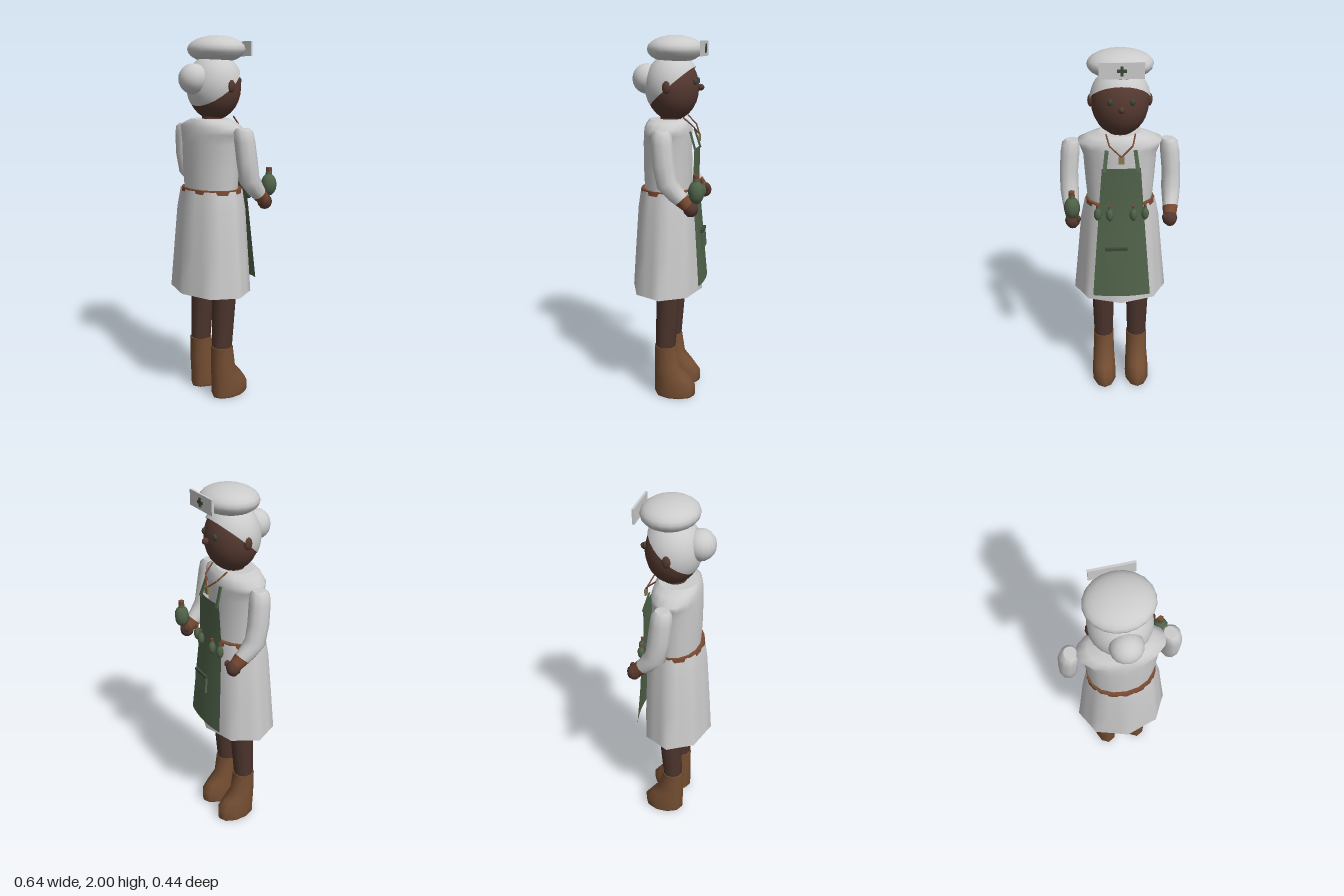
import * as THREE from 'three';

const COLORS = { cloth: 0xcccccc, skin: 0x553930, leg: 0x4c342c, boot: 0x744e32, leather: 0x7a4a32, green: 0x50634a, dark: 0x3c4638, brass: 0x8a7a50 };
const V = (x, y, z) => new THREE.Vector3(x, y, z);

function mesh(name, geo, color, parent, x = 0, y = 0, z = 0) {
  const mat = new THREE.MeshStandardMaterial({ color: COLORS[color] });
  const m = new THREE.Mesh(geo, mat);
  m.name = name;
  m.position.set(x, y, z);
  parent.add(m);
  return m;
}

function ellipsoid(rx, ry, rz, w = 16, h = 12) {
  return new THREE.SphereGeometry(1, w, h).scale(rx, ry, rz);
}

// Loft of elliptical rings, bottom to top: [x, y, z, rx, rz, tilt about x, fold depth]
function loft(rings, n, capped = true, folds = 8) {
  const pos = [], idx = [];
  const addRing = ([cx, cy, cz, rx, rz, tilt = 0, fold = 0]) => {
    for (let i = 0; i < n; i++) {
      const a = (i / n) * Math.PI * 2;
      const k = 1 + fold * (Math.cos(folds * a) - 1);
      const z = Math.cos(a) * rz * k;
      pos.push(cx + Math.sin(a) * rx * k, cy - z * Math.sin(tilt), cz + z * Math.cos(tilt));
    }
  };
  rings.forEach(addRing);
  for (let r = 0; r < rings.length - 1; r++) {
    for (let i = 0; i < n; i++) {
      const a = r * n + i, b = r * n + ((i + 1) % n);
      idx.push(a, b, b + n, a, b + n, a + n);
    }
  }
  if (capped) {
    [rings[0], rings[rings.length - 1]].forEach((ring, top) => {
      const s = pos.length / 3;
      addRing(ring);
      pos.push(ring[0], ring[1], ring[2]);
      for (let i = 0; i < n; i++) {
        const a = s + i, b = s + ((i + 1) % n);
        idx.push(s + n, top ? a : b, top ? b : a);
      }
    });
  }
  const g = new THREE.BufferGeometry();
  g.setAttribute('position', new THREE.Float32BufferAttribute(pos, 3));
  g.setIndex(idx);
  g.computeVertexNormals();
  return g;
}

function rod(name, a, b, r, color, parent) {
  return mesh(name, new THREE.TubeGeometry(new THREE.LineCurve3(a, b), 1, r, 6), color, parent);
}

// Round flask with a cork
function flask(name, r, h, parent, x, y, z) {
  const g = new THREE.Group();
  g.name = name;
  g.position.set(x, y, z);
  parent.add(g);
  mesh('glassBody', ellipsoid(r, h * 0.42, r, 8, 8), 'green', g, 0, h * 0.42, 0);
  mesh('glassNeck', new THREE.CylinderGeometry(r * 0.38, r * 0.45, h * 0.2, 8), 'green', g, 0, h * 0.82, 0);
  mesh('cork', new THREE.CylinderGeometry(r * 0.42, r * 0.38, h * 0.2, 6), 'leather', g, 0, h * 0.95, 0);
}

function buildLeg(s, root) {
  const leg = new THREE.Group();
  leg.name = s > 0 ? 'leftLeg' : 'rightLeg';
  root.add(leg);
  const x = s * 0.098;
  mesh('boot', loft([
    [x, 0, -0.043, 0.066, 0.11], [x, 0.015, -0.043, 0.072, 0.117], [x, 0.07, -0.043, 0.071, 0.117],
    [x, 0.12, -0.024, 0.068, 0.099], [x, 0.18, 0.003, 0.064, 0.071], [x, 0.3, 0.012, 0.062, 0.062],
  ], 10), 'boot', leg);
  mesh('shin', loft([
    [x, 0.28, 0.012, 0.056, 0.056], [x, 0.62, -0.005, 0.067, 0.067], [x, 1.0, 0, 0.07, 0.07],
  ], 10), 'leg', leg);
}

function buildArm(s, root) {
  const arm = new THREE.Group();
  arm.name = s > 0 ? 'leftArm' : 'rightArm';
  root.add(arm);
  mesh('sleeve', loft([
    [s * 0.262, 1.172, -0.112, 0.039, 0.039, 0.75], [s * 0.266, 1.205, -0.078, 0.045, 0.047, 0.7],
    [s * 0.27, 1.26, -0.032, 0.051, 0.056, 0.4], [s * 0.27, 1.36, -0.014, 0.05, 0.058, 0.1],
    [s * 0.262, 1.46, -0.004, 0.052, 0.056], [s * 0.256, 1.51, 0, 0.048, 0.052], [s * 0.25, 1.528, 0, 0.033, 0.036],
  ], 10), 'cloth', arm);
  mesh('cuff', loft([
    [s * 0.258, 1.145, -0.14, 0.034, 0.034, 0.75], [s * 0.262, 1.18, -0.105, 0.042, 0.042, 0.75],
  ], 10), 'leather', arm);
  mesh('hand', ellipsoid(0.04, 0.043, 0.04, 8, 6), 'skin', arm, s * 0.257, 1.133, -0.152);
  mesh('thumb', ellipsoid(0.013, 0.02, 0.016, 6, 5), 'skin', arm, s * 0.226, 1.15, -0.17);
}

function buildHead(root) {
  const head = new THREE.Group();
  head.name = 'head';
  root.add(head);
  mesh('neck', new THREE.CylinderGeometry(0.055, 0.06, 0.1, 12), 'skin', head, 0, 1.57, 0);
  mesh('face', ellipsoid(0.148, 0.172, 0.142, 20, 14), 'skin', head, 0, 1.73, -0.01);
  // Hair shell covers the crown and back, cut along a sloping line
  const hair = new THREE.SphereGeometry(1, 24, 10, 0, Math.PI * 2, 0, Math.PI * 0.5);
  hair.rotateX(0.64).scale(0.157, 0.172, 0.15);
  mesh('hair', hair, 'cloth', head, 0, 1.737, -0.012).material.side = THREE.DoubleSide;
  mesh('bun', ellipsoid(0.082, 0.08, 0.08), 'cloth', head, 0, 1.775, 0.127);
  for (const s of [1, -1]) {
    mesh('ear', ellipsoid(0.016, 0.034, 0.024, 8, 6), 'skin', head, s * 0.15, 1.738, -0.005);
    mesh('eye', ellipsoid(0.016, 0.018, 0.012, 8, 6), 'dark', head, s * 0.055, 1.765, -0.137);
  }
  mesh('nose', ellipsoid(0.017, 0.018, 0.02, 8, 6), 'skin', head, 0, 1.733, -0.16);
  mesh('cap', ellipsoid(0.167, 0.072, 0.148, 20, 12), 'cloth', head, 0, 1.928, -0.024);
  mesh('capPanel', new THREE.BoxGeometry(0.22, 0.078, 0.012), 'cloth', head, 0, 1.932, -0.177);
  mesh('crossBar', new THREE.BoxGeometry(0.046, 0.015, 0.008), 'dark', head, 0, 1.932, -0.185);
  mesh('crossPost', new THREE.BoxGeometry(0.015, 0.046, 0.008), 'dark', head, 0, 1.932, -0.185);
}

function buildApron(root) {
  const apron = new THREE.Group();
  apron.name = 'apron';
  root.add(apron);
  // Sheet that widens towards the hem and curves round the body
  const sheet = new THREE.PlaneGeometry(2, 1, 8, 8);
  const p = sheet.attributes.position;
  for (let i = 0; i < p.count; i++) {
    const t = 0.5 - p.getY(i);
    const x = p.getX(i) * THREE.MathUtils.lerp(0.1, 0.157, t);
    const z = t < 0.3 ? -0.152 : THREE.MathUtils.lerp(-0.152, -0.2, (t - 0.3) / 0.7);
    p.setXYZ(i, x, 1.42 - 0.74 * t, z + 0.75 * x * x);
  }
  sheet.computeVertexNormals();
  mesh('apronSheet', sheet, 'green', apron).material.side = THREE.DoubleSide;
  mesh('pocket', new THREE.BoxGeometry(0.115, 0.1, 0.012), 'green', apron, 0.03, 0.922, -0.188).rotation.x = 0.08;
  mesh('pocketHem', new THREE.BoxGeometry(0.12, 0.014, 0.015), 'dark', apron, 0.03, 0.97, -0.186);
  for (const s of [1, -1]) {
    const strap = mesh('strap', new THREE.BoxGeometry(0.02, 0.11, 0.008), 'green', apron, s * 0.08, 1.455, -0.134);
    strap.rotation.set(0.3, 0, s * 0.12);
    for (const x of [0.062, 0.125]) flask('beltVial', 0.02, 0.085, apron, s * x, 1.13, x > 0.1 ? -0.155 : -0.167);
  }
}

export function createModel() {
  const root = new THREE.Group();
  root.name = 'healer';

  for (const s of [1, -1]) {
    buildLeg(s, root);
    buildArm(s, root);
  }

  // Skirt with folds deepening towards the hem, open below
  const skirt = loft([
    [0, 0.62, 0.0175, 0.26, 0.197, 0, 0.048], [0, 0.85, 0.015, 0.236, 0.184, 0, 0.042],
    [0, 1.08, 0.012, 0.213, 0.17, 0, 0.035], [0, 1.19, 0.01, 0.19, 0.155, 0, 0.03],
  ], 24, false);
  mesh('skirt', skirt, 'cloth', root).material.side = THREE.DoubleSide;

  mesh('bodice', loft([
    [0, 1.17, 0.012, 0.173, 0.126], [0, 1.3, 0.014, 0.184, 0.129], [0, 1.44, 0.014, 0.193, 0.129],
    [0, 1.49, 0.012, 0.21, 0.128], [0, 1.525, 0.012, 0.228, 0.122], [0, 1.55, 0.014, 0.17, 0.113],
    [0, 1.566, 0.016, 0.11, 0.1],
  ], 16), 'cloth', root);

  mesh('belt', loft([
    [0, 1.172, 0.01, 0.187, 0.15], [0, 1.196, 0.01, 0.185, 0.148],
  ], 24), 'leather', root);

  buildHead(root);
  buildApron(root);
  flask('heldFlask', 0.042, 0.145, root, 0.257, 1.16, -0.18);

  // Cord necklace with a small pendant
  const necklace = new THREE.Group();
  necklace.name = 'necklace';
  root.add(necklace);
  for (const s of [1, -1]) {
    rod('cord', V(s * 0.075, 1.58, -0.08), V(s * 0.06, 1.535, -0.13), 0.004, 'leather', necklace);
    rod('cord', V(s * 0.06, 1.535, -0.13), V(0, 1.485, -0.157), 0.004, 'leather', necklace);
  }
  mesh('pendant', new THREE.BoxGeometry(0.032, 0.036, 0.01), 'brass', necklace, 0, 1.468, -0.158);
  return root;
}
